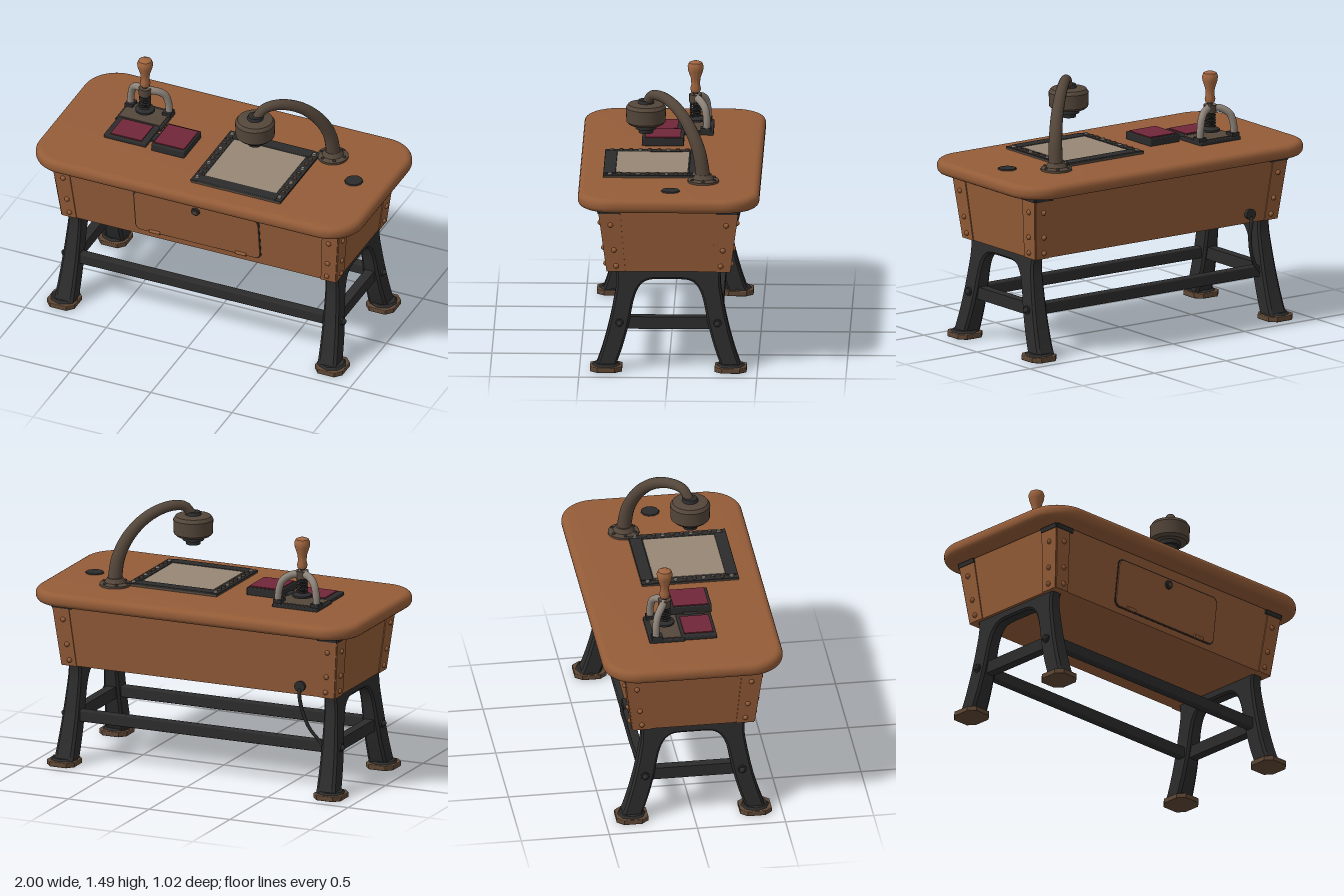
import * as THREE from 'three';
import { toCreasedNormals } from 'three/addons/utils/BufferGeometryUtils.js';
import { RoundedBoxGeometry } from 'three/addons/geometries/RoundedBoxGeometry.js';

const paint = (name, color) => Object.assign(new THREE.MeshStandardMaterial({ color }), { name });
const wood = paint('wood', 0x945c38);
const handleWood = paint('handle wood', 0xa0653f);
const iron = paint('black iron', 0x2c2c2d);
const bronze = paint('aged bronze', 0x54463a);
const rust = paint('rusty foot', 0x5e4735);
const red = paint('red pad', 0x702638);
const paper = paint('paper', 0x978776);
const steel = paint('worn steel', 0x8c8278);

const V = (x, y, z) => new THREE.Vector3(x, y, z);

function add(parent, name, geometry, material, x = 0, y = 0, z = 0) {
  const mesh = new THREE.Mesh(geometry, material);
  mesh.name = name;
  mesh.position.set(x, y, z);
  parent.add(mesh);
  return mesh;
}
function group(parent, name, x = 0, y = 0, z = 0) {
  const g = new THREE.Group();
  g.name = name;
  g.position.set(x, y, z);
  parent.add(g);
  return g;
}
const box = (w, h, d) => new THREE.BoxGeometry(w, h, d);
const cyl = (r1, r2, h, n = 24) => new THREE.CylinderGeometry(r1, r2, h, n);
const soft = (w, h, d, r) => new RoundedBoxGeometry(w, h, d, 3, r);
const lathe = (pts, n = 32) =>
  toCreasedNormals(new THREE.LatheGeometry(pts.map(p => new THREE.Vector2(...p)), n), 0.6);
const rivet = r => new THREE.SphereGeometry(r, 12, 8);

function roundedRect(w, d, r) {
  const s = new THREE.Shape(), x = w / 2 - r, y = d / 2 - r;
  s.absarc(x, y, r, 0, Math.PI / 2);
  s.absarc(-x, y, r, Math.PI / 2, Math.PI);
  s.absarc(-x, -y, r, Math.PI, Math.PI * 1.5);
  s.absarc(x, -y, r, Math.PI * 1.5, Math.PI * 2);
  return s;
}
// flat slab standing on y = 0 with bevelled edges
function slab(shape, height, bevel) {
  const g = new THREE.ExtrudeGeometry(shape, {
    depth: height - 2 * bevel, bevelThickness: bevel, bevelSize: bevel,
    bevelOffset: -bevel, bevelSegments: 5, curveSegments: 12 });
  g.translate(0, 0, bevel).rotateX(-Math.PI / 2);
  return toCreasedNormals(g, 0.6);
}
// tube whose thickness runs from r0 to r1
function taperTube(points, r0, r1, segments = 40) {
  const curve = new THREE.CatmullRomCurve3(points), sides = 14;
  const g = new THREE.TubeGeometry(curve, segments, 1, sides);
  const p = g.attributes.position, v = V(0, 0, 0);
  for (let i = 0; i < p.count; i++) {
    const t = Math.floor(i / (sides + 1)) / segments, c = curve.getPointAt(t);
    v.fromBufferAttribute(p, i).sub(c).multiplyScalar(r0 + (r1 - r0) * t).add(c);
    p.setXYZ(i, v.x, v.y, v.z);
  }
  return g;
}

function buildBody(root) {
  add(root, 'tableTop', slab(roundedRect(2, 1.02, 0.2), 0.08, 0.034), wood, 0, 0.95, 0);
  add(root, 'topSeam', box(1.74, 0.012, 0.77), iron, 0, 0.946, 0);

  // tapered chest under the top
  const chest = box(2, 0.37, 2), p = chest.attributes.position;
  for (let i = 0; i < p.count; i++) {
    const top = p.getY(i) > 0;
    p.setX(i, p.getX(i) * (top ? 0.88 : 0.842));
    p.setZ(i, p.getZ(i) * (top ? 0.39 : 0.342));
  }
  chest.computeVertexNormals();
  add(root, 'chest', chest, wood, 0, 0.76, 0);

  // corner plates and rivets on all four sloping faces
  const faces = [];
  for (let k = 0; k < 4; k++) {
    const long = k % 2 === 0, half = long ? 0.842 : 0.342, grow = long ? 0.038 : 0.048;
    const f = group(root, 'chestFace', 0, 0.575, 0);
    f.rotation.order = 'YXZ';
    f.rotation.y = k * Math.PI / 2;
    f.rotation.x = Math.atan((long ? 0.048 : 0.038) / 0.37);
    f.position.set(Math.sin(f.rotation.y), 0, Math.cos(f.rotation.y)).multiplyScalar(long ? 0.342 : 0.842);
    f.position.y = 0.575;
    faces.push(f);
    for (const s of [-1, 1]) {
      const inner = half - (long ? 0.09 : 0.1);
      const pts = [[inner, 0], [half, 0], [half + grow, 0.37], [inner + 0.03, 0.37]]
        .map(([x, y]) => new THREE.Vector2(s * x, y));
      add(f, 'cornerPlate', new THREE.ExtrudeGeometry(new THREE.Shape(pts), { depth: 0.006, bevelEnabled: false }), wood);
      for (const y of [0.035, 0.13, 0.28])
        add(f, 'rivet', rivet(0.015), wood, s * (half - 0.053 + y * grow / 0.37), y, 0.006);
      add(f, 'topBracket', box(0.12, 0.025, 0.014), iron, s * (half + grow - 0.06), 0.36, 0.004);
    }
  }

  // drop-front drawer
  const front = group(faces[0], 'drawer', 0, 0.178, 0);
  const plate = (w, h, d, m, name) => add(front, name,
    new THREE.ExtrudeGeometry(roundedRect(w, h, 0.035), { depth: d, bevelEnabled: false }), m);
  plate(0.776, 0.286, 0.003, iron, 'drawerGap');
  plate(0.764, 0.274, 0.009, wood, 'drawerFront');
  add(front, 'lock', cyl(0.024, 0.026, 0.016), iron, 0, 0.1, 0.012).rotation.x = Math.PI / 2;
  add(front, 'lockCore', cyl(0.012, 0.012, 0.006), bronze, 0, 0.1, 0.021).rotation.x = Math.PI / 2;
  for (const s of [-1, 1])
    add(front, 'hinge', cyl(0.01, 0.01, 0.065, 12), wood, s * 0.265, -0.13, 0.01).rotation.z = Math.PI / 2;
}

// arched end frame, seen from the side, then widened toward the floor
function legGeometry() {
  const s = new THREE.Shape();
  s.moveTo(-0.3, 0.58);
  s.lineTo(0.3, 0.58);
  s.quadraticCurveTo(0.285, 0.53, 0.3, 0.45);
  s.quadraticCurveTo(0.34, 0.2, 0.41, 0.02);
  s.lineTo(0.3, 0.02);
  s.quadraticCurveTo(0.235, 0.18, 0.205, 0.36);
  s.bezierCurveTo(0.18, 0.5, 0.14, 0.525, 0.07, 0.525);
  s.lineTo(-0.07, 0.525);
  s.bezierCurveTo(-0.14, 0.525, -0.18, 0.5, -0.205, 0.36);
  s.quadraticCurveTo(-0.235, 0.18, -0.3, 0.02);
  s.lineTo(-0.41, 0.02);
  s.quadraticCurveTo(-0.34, 0.2, -0.3, 0.45);
  s.quadraticCurveTo(-0.285, 0.53, -0.3, 0.58);
  const g = new THREE.ExtrudeGeometry(s, { depth: 0.06, bevelThickness: 0.012, bevelSize: 0.012,
    bevelOffset: -0.012, bevelSegments: 1, curveSegments: 10 });
  g.translate(0, 0, 0.012).rotateY(Math.PI / 2);
  const p = g.attributes.position;
  for (let i = 0; i < p.count; i++) {
    const x = p.getX(i) / 0.084, y = p.getY(i);
    p.setX(i, 0.753 + x * (0.118 - 0.075 * y));
  }
  return toCreasedNormals(g, 0.5);
}

function buildFrame(root) {
  const legs = legGeometry();
  const foot = slab(new THREE.Shape([[0.05, 0.09], [0.085, 0.05], [0.085, -0.05], [0.05, -0.09],
    [-0.05, -0.09], [-0.085, -0.05], [-0.085, 0.05], [-0.05, 0.09]].map(a => new THREE.Vector2(...a))), 0.03, 0.004);
  for (const s of [-1, 1]) {
    const end = group(root, s > 0 ? 'leftEndFrame' : 'rightEndFrame');
    if (s < 0) end.rotation.y = Math.PI;
    add(end, 'archedLegs', legs, iron);
    add(end, 'sideBar', box(0.055, 0.07, 0.48), iron, 0.8, 0.272, 0);
    for (const z of [-1, 1]) {
      add(end, 'foot', foot, rust, 0.825, 0, z * 0.35);
      add(end, 'footCollar', cyl(0.07, 0.082, 0.014, 8), iron, 0.825, 0.035, z * 0.35);
      add(end, 'boltWasher', cyl(0.025, 0.025, 0.012, 16), iron, 0.853, 0.275, z * 0.275).rotation.z = Math.PI / 2;
      add(end, 'bolt', rivet(0.017), iron, 0.86, 0.275, z * 0.275);
    }
  }
  for (const z of [-1, 1]) add(root, 'longBar', soft(1.56, 0.066, 0.05, 0.008), iron, 0, 0.273, z * 0.275);

  // power cable at the back
  add(root, 'cable', taperTube([V(-0.64, 0.63, -0.35), V(-0.64, 0.6, -0.375), V(-0.645, 0.5, -0.355),
    V(-0.68, 0.38, -0.325), V(-0.74, 0.29, -0.295), V(-0.79, 0.22, -0.3)], 0.011, 0.009), iron);
  add(root, 'cableSocket', cyl(0.028, 0.032, 0.03), iron, -0.64, 0.63, -0.36).rotation.x = Math.PI / 2;
}

function buildLamp(root) {
  const lamp = group(root, 'lamp');
  add(lamp, 'lampBase', lathe([[0, 0], [0.088, 0], [0.088, 0.012], [0.06, 0.02], [0.045, 0.045], [0, 0.045]]),
    bronze, 0.585, 1.03, -0.19);
  for (let i = 0; i < 6; i++)
    add(lamp, 'baseBolt', rivet(0.01), iron, 0.585 + 0.07 * Math.cos(i * 1.047), 1.045, -0.19 + 0.07 * Math.sin(i * 1.047));
  add(lamp, 'lampArm', taperTube([V(0.59, 1.05, -0.19), V(0.575, 1.19, -0.168), V(0.53, 1.31, -0.12),
    V(0.45, 1.41, -0.045), V(0.36, 1.457, 0.04), V(0.295, 1.45, 0.105), V(0.262, 1.4, 0.135)], 0.041, 0.027), bronze);
  const head = group(lamp, 'lampHead', 0.255, 0, 0.14);
  add(head, 'collar', cyl(0.04, 0.05, 0.03), iron, 0, 1.4, 0);
  add(head, 'shade', lathe([[0, 1.275], [0.095, 1.275], [0.11, 1.29], [0.113, 1.37], [0.1, 1.39], [0.05, 1.397], [0, 1.397]]), bronze);
  add(head, 'lensRing', cyl(0.06, 0.06, 0.03), iron, 0, 1.265, 0);
  add(head, 'lens', cyl(0.045, 0.04, 0.03), iron, 0, 1.24, 0);
}

function buildPaperTray(root) {
  const tray = group(root, 'paperTray', 0.24, 1.03, 0.1);
  add(tray, 'trayPlate', box(0.55, 0.012, 0.55), bronze, 0, 0.005, 0);
  add(tray, 'trayInset', box(0.48, 0.006, 0.54), iron, 0, 0.011, 0);
  add(tray, 'paper', box(0.44, 0.006, 0.41), paper, 0, 0.014, 0.005);
  for (const s of [-1, 1]) {
    add(tray, 'clampBar', soft(0.48, 0.014, 0.07, 0.005), iron, 0, 0.014, s * 0.24);
    add(tray, 'sideRail', box(0.05, 0.008, 0.55), iron, s * 0.253, 0.012, 0);
    for (let i = 0; i < 10; i++)
      add(tray, 'peg', cyl(0.011, 0.013, 0.012, 10), i % 3 ? bronze : steel, s * 0.253, 0.02, -0.24 + i * 0.053);
  }
}

function buildStampPress(root) {
  const press = group(root, 'stampPress', -0.54, 1.03, -0.12);
  add(press, 'pressBase', soft(0.28, 0.022, 0.2, 0.006), iron, 0, 0.008, -0.004);
  add(press, 'baseRim', box(0.25, 0.01, 0.15), bronze, 0, 0.018, 0);
  for (const s of [-1, 1]) {
    add(press, 'yokeArm', taperTube([V(s * 0.12, 0.015, -0.065), V(s * 0.115, 0.09, -0.065), V(s * 0.098, 0.145, -0.055),
      V(s * 0.06, 0.175, -0.03), V(0, 0.185, 0)], 0.02, 0.022), steel);
    add(press, 'yokeFoot', box(0.05, 0.03, 0.06), iron, s * 0.115, 0.025, -0.06);
  }
  add(press, 'collar', cyl(0.036, 0.036, 0.045), bronze, 0, 0.18, 0);
  add(press, 'spindle', cyl(0.014, 0.014, 0.2, 14), iron, 0, 0.14, 0);
  const coil = [];
  for (let i = 0; i <= 60; i++) coil.push(V(0.028 * Math.cos(i * 0.6), 0.07 + i * 0.0015, 0.028 * Math.sin(i * 0.6)));
  add(press, 'spring', new THREE.TubeGeometry(new THREE.CatmullRomCurve3(coil), 150, 0.006, 6), iron);
  add(press, 'stampHead', lathe([[0, 0.05], [0.055, 0.05], [0.055, 0.062], [0.03, 0.075], [0, 0.075]]), iron);
  add(press, 'handle', lathe([[0, 0.215], [0.025, 0.215], [0.03, 0.235], [0.024, 0.26], [0.027, 0.295],
    [0.042, 0.34], [0.045, 0.365], [0.037, 0.385], [0.02, 0.393], [0, 0.394]]), handleWood);

  // ink pads beside the press
  const pads = [['leftInkPad', -0.27, 0.055, 0.205, 0.235, 0.046], ['rightInkPad', -0.54, 0.06, 0.26, 0.2, 0.024]];
  for (const [name, x, z, w, d, h] of pads) {
    const pad = group(root, name, x, 1.03, z);
    add(pad, 'padTray', soft(w, h, d, 0.006), iron, 0, h / 2 - 0.002, 0);
    const rw = w > 0.25 ? 0.19 : 0.185;
    add(pad, 'inkSurface', box(rw, 0.008, d - 0.035), red, 0, h, 0);
  }
  add(root, 'padLink', box(0.06, 0.012, 0.08), iron, -0.39, 1.035, 0.05);
}

export function createModel() {
  const root = new THREE.Group();
  root.name = 'inspectionDesk';
  buildBody(root);
  buildFrame(root);
  buildLamp(root);
  buildPaperTray(root);
  buildStampPress(root);
  add(root, 'cableHole', cyl(0.05, 0.055, 0.01, 10), iron, 0.795, 1.032, -0.01);
  return root;
}
